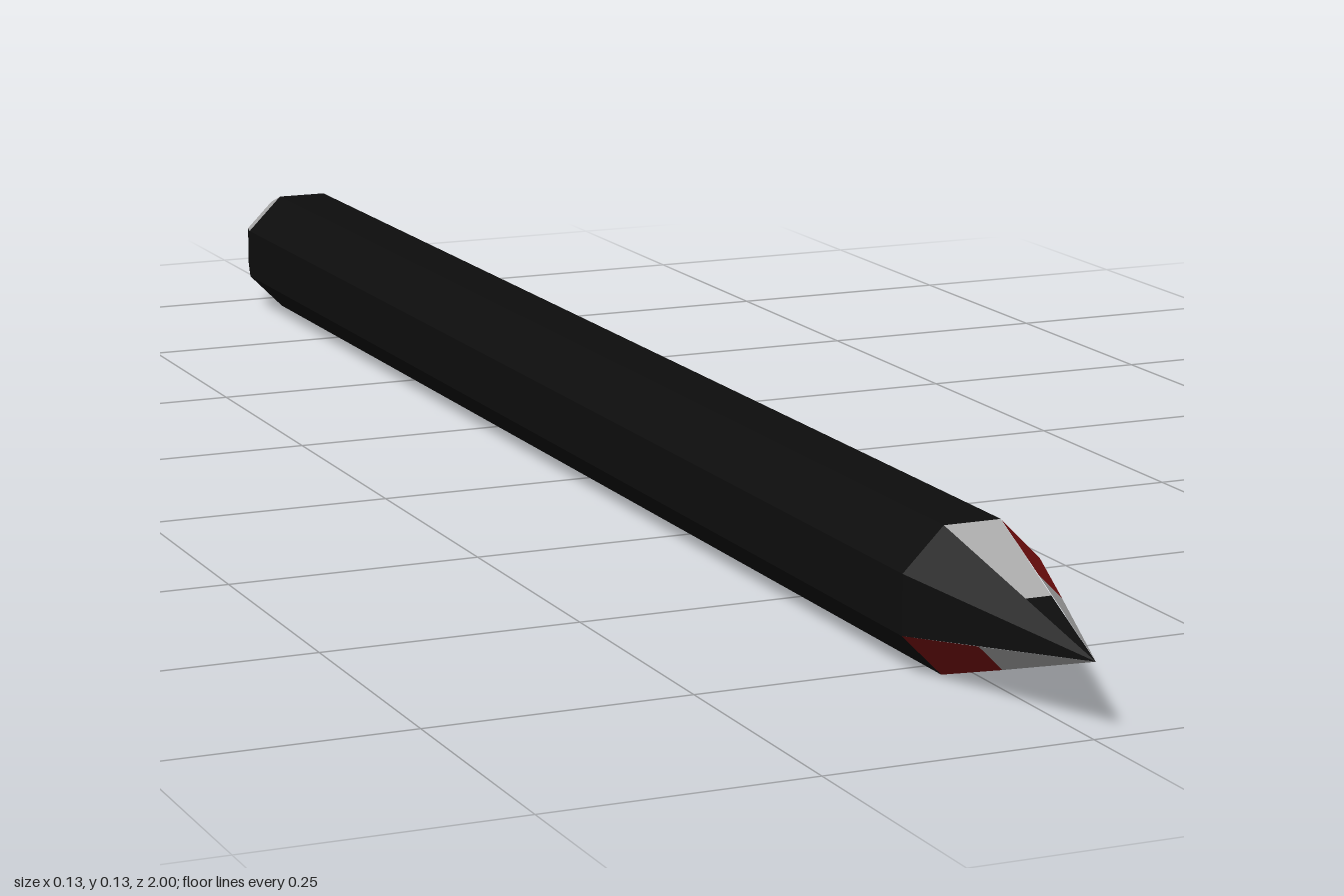
import * as THREE from 'three';

const SIDES = 8;
const CENTRE_Y = 0.067;
const ALL = [0, 1, 2, 3, 4, 5, 6, 7];

// Facets are counted anticlockwise seen from the front: 0 = +x, 2 = top, 4 = -x, 6 = bottom.
// Each ring is [distance from the axis to the flat, z].
function facetStrip(facets, [flat0, z0], [flat1, z1]) {
  const positions = [];
  const point = (flat, z, angle) => {
    const r = flat / Math.cos(Math.PI / SIDES);
    return [r * Math.cos(angle), CENTRE_Y + r * Math.sin(angle), z];
  };
  for (const i of facets) {
    const a0 = ((i - 0.5) * 2 * Math.PI) / SIDES;
    const a1 = ((i + 0.5) * 2 * Math.PI) / SIDES;
    const a = point(flat0, z0, a0), b = point(flat0, z0, a1);
    const c = point(flat1, z1, a1), d = point(flat1, z1, a0);
    if (flat0 > 0) positions.push(...a, ...b, ...c);
    if (flat1 > 0) positions.push(...a, ...c, ...d);
  }
  const geometry = new THREE.BufferGeometry();
  geometry.setAttribute('position', new THREE.Float32BufferAttribute(positions, 3));
  geometry.computeVertexNormals();
  return geometry;
}

export function createModel() {
  const makeMaterial = (name, color) => {
    const material = new THREE.MeshStandardMaterial({ color });
    material.name = name;
    return material;
  };
  const black = makeMaterial('black', 0x0d0d0d);
  const grey = makeMaterial('grey', 0xacacac);
  const red = makeMaterial('red', 0x7d1010);

  const model = new THREE.Group();
  model.name = 'pointedStick';
  const add = (name, material, facets, from, to) => {
    const mesh = new THREE.Mesh(facetStrip(facets, from, to), material);
    mesh.name = name;
    model.add(mesh);
  };

  const backRim = [0.052, -1];
  const backEdge = [0.067, -0.95];
  const shoulder = [0.067, 0.78];
  const greyEnd = [0.03, 0.9];
  const redEnd = [0.04, 0.87];
  const point = [0, 1];

  // Long eight-sided shaft
  add('shaft', black, ALL, backEdge, shoulder);

  // Sharpened tip with painted facets
  add('tipBlackFacets', black, [0, 3, 4, 6, 7], shoulder, point);
  add('tipTopGrey', grey, [2], shoulder, greyEnd);
  add('tipTopBlack', black, [2], greyEnd, point);
  add('tipRedPatches', red, [1, 5], shoulder, redEnd);
  add('tipGreyPoints', grey, [1, 5], redEnd, point);

  // Bevelled back end
  add('backBevelBlack', black, [2, 4, 7], backRim, backEdge);
  add('backBevelGrey', grey, [1, 3, 5, 6], backRim, backEdge);
  add('backBevelRed', red, [0], backRim, backEdge);

  // Slightly dished end face
  add('backDish', red, ALL, [0, -0.975], backRim);

  return model;
}
